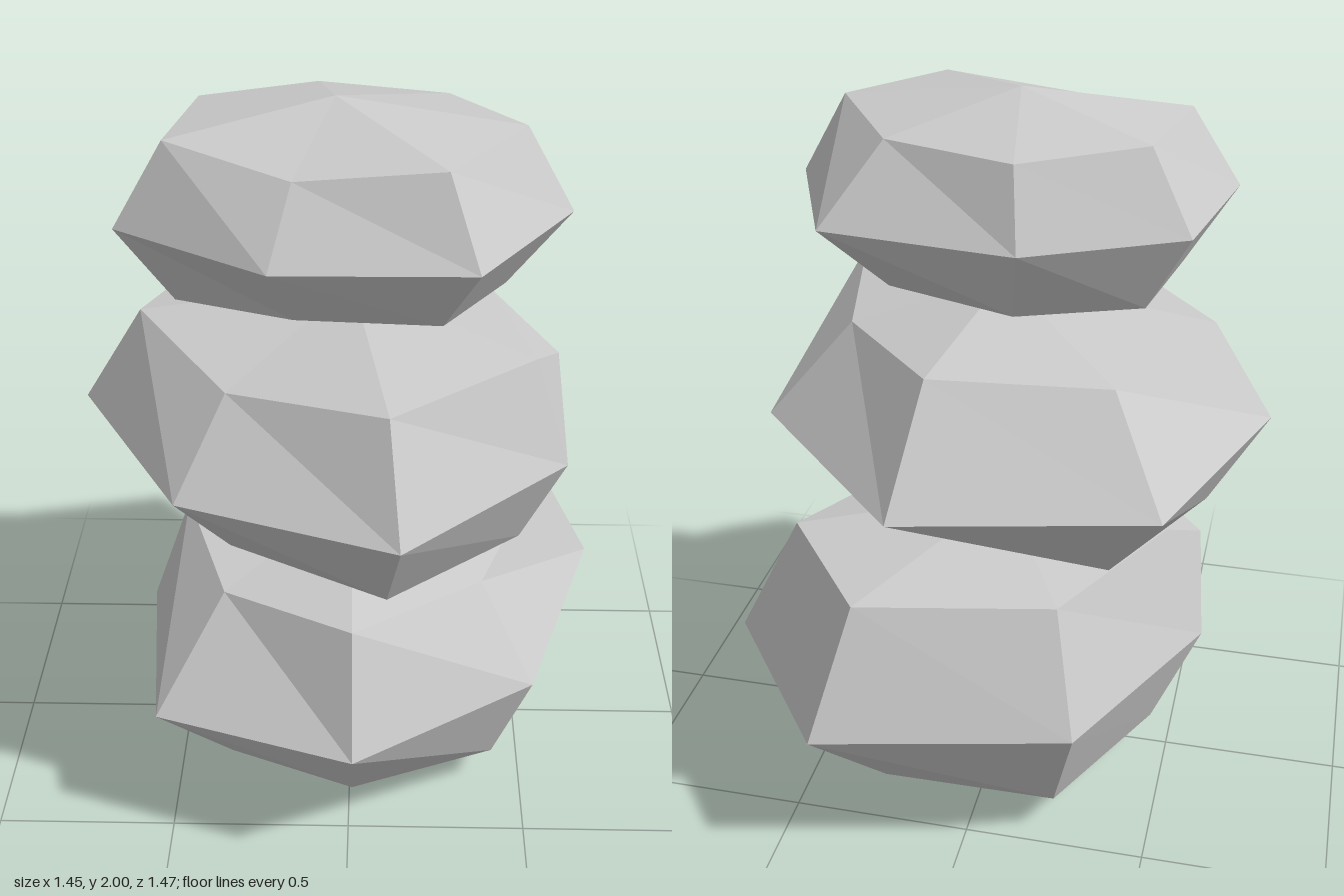
import * as THREE from 'three';

// Each stone: crown and base points, height of its waist, and seven sides
// going round as [x, z, upper shrink, upper y, lower shrink, lower y].
const stones = [
  {
    name: 'bottomStone', crown: [0, 0.82, 0], base: [0.04, 0, 0], waist: 0.435,
    sides: [
      [-0.585, -0.02, 0.80, 0.77, 0.77, 0.11],
      [-0.52, 0.53, 0.65, 0.72, 0.65, 0.14],
      [0.015, 0.70, 0.785, 0.75, 0.71, 0.15],
      [0.51, 0.38, 0.71, 0.71, 0.81, 0.12],
      [0.72, -0.26, 0.775, 0.765, 0.78, 0.10],
      [0.365, -0.735, 0.775, 0.77, 0.65, 0.14],
      [-0.31, -0.58, 0.77, 0.76, 0.77, 0.115],
    ],
  },
  {
    name: 'middleStone', crown: [0, 1.485, 0], base: [0, 0.8, 0], waist: 1.14,
    sides: [
      [-0.725, 0.015, 0.775, 1.405, 0.785, 0.87],
      [-0.43, 0.54, 0.71, 1.37, 0.72, 0.91],
      [0.13, 0.735, 0.775, 1.415, 0.77, 0.875],
      [0.56, 0.34, 0.84, 1.42, 0.81, 0.87],
      [0.59, -0.25, 0.64, 1.39, 0.64, 0.90],
      [0.13, -0.735, 0.68, 1.42, 0.55, 0.91],
      [-0.515, -0.585, 0.71, 1.40, 0.71, 0.88],
    ],
  },
  {
    name: 'topStone', crown: [-0.04, 2, 0.01], base: [-0.04, 1.46, 0.01], waist: 1.72,
    sides: [
      [-0.585, 0.19, 0.78, 1.935, 0.765, 1.505],
      [-0.19, 0.44, 0.71, 1.90, 0.72, 1.54],
      [0.31, 0.435, 0.755, 1.935, 0.74, 1.53],
      [0.56, 0.06, 0.775, 1.94, 0.715, 1.51],
      [0.39, -0.36, 0.64, 1.92, 0.64, 1.535],
      [-0.12, -0.42, 0.785, 1.915, 0.75, 1.52],
      [-0.51, -0.22, 0.78, 1.93, 0.78, 1.51],
    ],
  },
];

// Faceted stone: three rings closed by a fan at the crown and at the base
function stoneGeometry({ crown, base, waist, sides }) {
  const n = sides.length;
  const rings = [
    sides.map(([x, z, s, y]) => [x * s, y, z * s]),
    sides.map(([x, z]) => [x, waist, z]),
    sides.map(([x, z, , , s, y]) => [x * s, y, z * s]),
  ];
  const points = [];
  const tri = (...corners) => corners.forEach((p) => points.push(...p));

  for (let i = 0; i < n; i++) {
    const j = (i + 1) % n;
    tri(crown, rings[0][i], rings[0][j]);
    for (let r = 0; r < 2; r++) {
      const upper = rings[r], lower = rings[r + 1];
      tri(upper[j], upper[i], lower[j]);
      tri(upper[i], lower[i], lower[j]);
    }
    tri(base, rings[2][j], rings[2][i]);
  }
  const geometry = new THREE.BufferGeometry();
  geometry.setAttribute('position', new THREE.Float32BufferAttribute(points, 3));
  geometry.computeVertexNormals();
  return geometry;
}

export function createModel() {
  const group = new THREE.Group();
  group.name = 'stackedStones';
  const material = new THREE.MeshStandardMaterial({ color: 0xcccccc, flatShading: true });
  for (const stone of stones) {
    const mesh = new THREE.Mesh(stoneGeometry(stone), material);
    mesh.name = stone.name;
    group.add(mesh);
  }
  return group;
}
